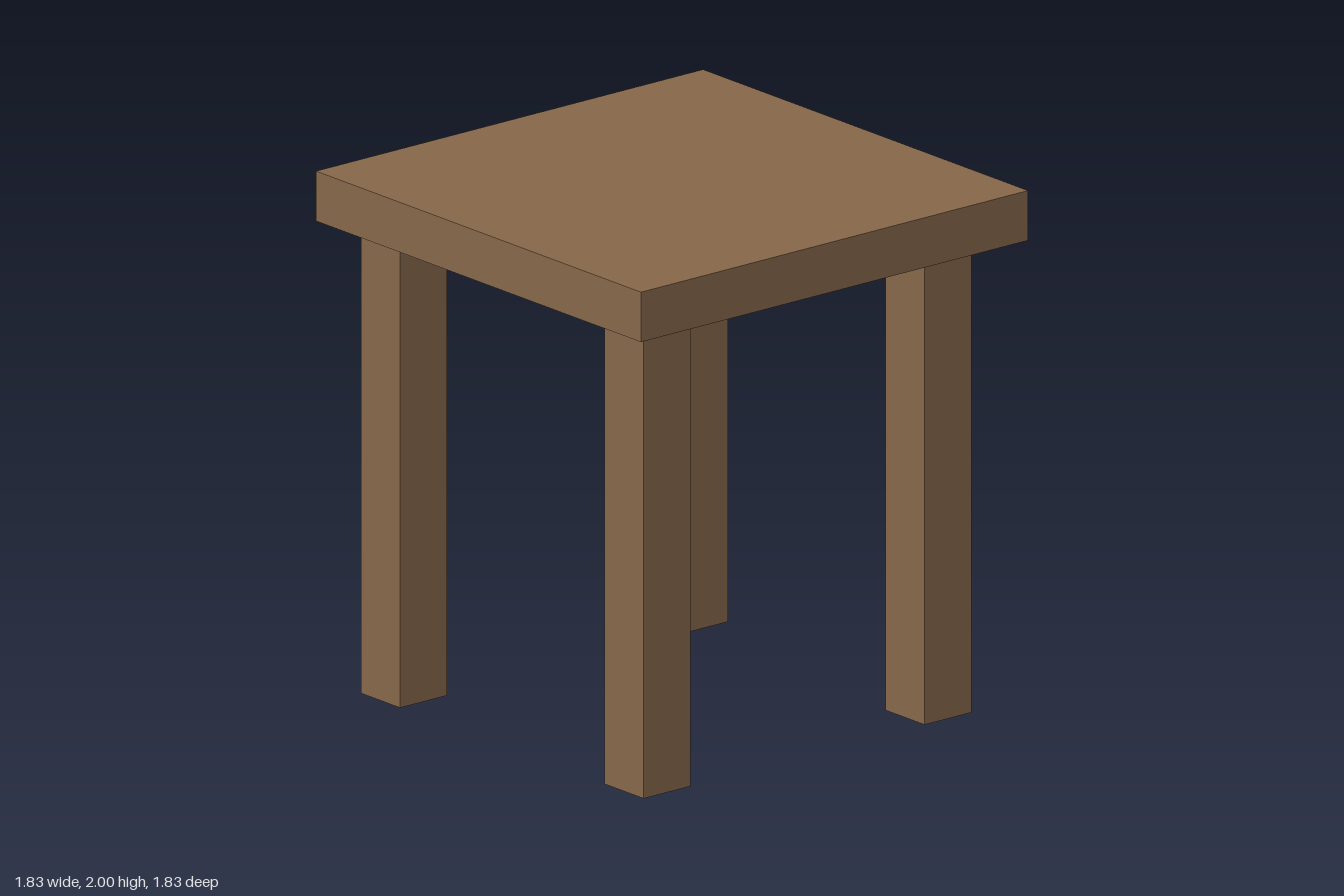
import * as THREE from 'three';

export function createModel() {
  const model = new THREE.Group();
  model.name = 'table';
  const wood = new THREE.MeshStandardMaterial({ color: 0x866749 });

  function addBox(name, width, height, depth, x, y, z) {
    const mesh = new THREE.Mesh(new THREE.BoxGeometry(width, height, depth), wood);
    mesh.name = name;
    mesh.position.set(x, y, z);
    model.add(mesh);
  }

  // Square slab top
  const topThickness = 0.19;
  const legHeight = 2 - topThickness;
  addBox('tableTop', 1.828, topThickness, 1.828, 0, 2 - topThickness / 2, 0);

  // Four square legs, set slightly off centre under the top
  const legWidth = 0.221;
  for (const [side, x] of [['Left', 0.671], ['Right', -0.656]]) {
    for (const [end, z] of [['front', 0.643], ['back', -0.727]]) {
      addBox(`${end}${side}Leg`, legWidth, legHeight, legWidth, x, legHeight / 2, z);
    }
  }
  return model;
}
